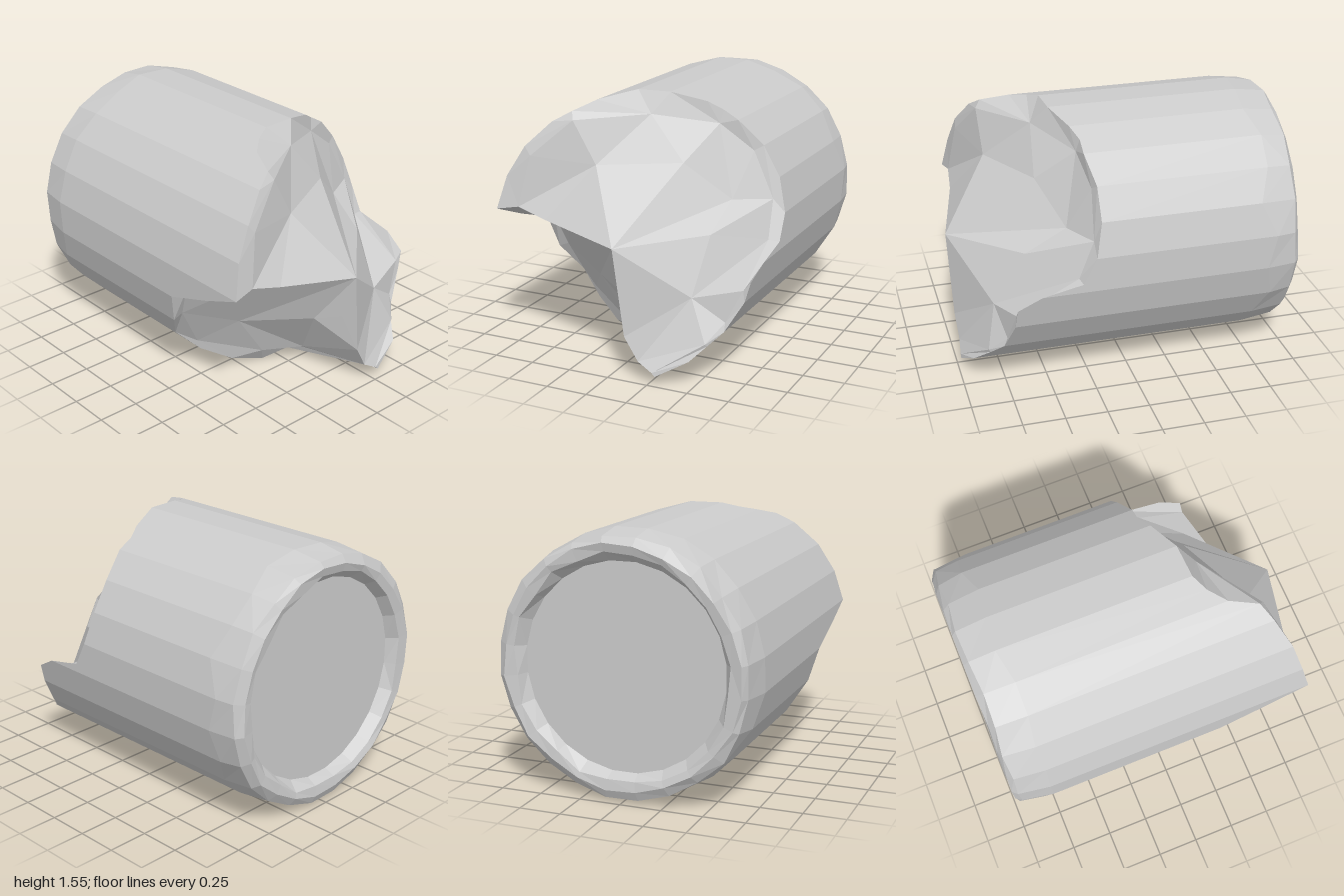
import * as THREE from 'three';

const SIDES = 24, RADIUS = 0.782, CY = 0.775;
const material = new THREE.MeshStandardMaterial({ color: 0xcccccc, flatShading: true });

// Small seeded noise in the range -1..1
let seed = 7;
const noise = () => {
  seed = (seed * 16807) % 2147483647;
  return (seed / 2147483647) * 2 - 1;
};

// Point on the many-sided outline; whole steps are corners, fractions lie on the flats
function outlinePoint(step, z, radius = RADIUS) {
  const low = Math.floor(step), t = step - low;
  const corner = (i) => {
    const a = ((i + 0.5) / SIDES) * Math.PI * 2;
    return [Math.cos(a) * radius, Math.sin(a) * radius];
  };
  const [p, q] = [corner(low), corner(low + 1)];
  return [p[0] + (q[0] - p[0]) * t, CY + p[1] + (q[1] - p[1]) * t, z];
}

// Full ring around the z axis; r and z are functions giving each corner
const ring = (r, z) => Array.from({ length: SIDES }, (_, i) => outlinePoint(i, z(), r()));

// Join two angle-sorted rings of any point count with triangles
function stitch(out, A, B) {
  const angles = (R) => R.map(([x, y]) => {
    const a = Math.atan2(y - CY, x);
    return a < 0 ? a + Math.PI * 2 : a;
  });
  const aa = angles(A), ab = angles(B);
  const nextAngle = (list, i) => list[(i + 1) % list.length] + (i + 1 >= list.length ? Math.PI * 2 : 0);
  let i = 0, j = 0;
  const endA = A.length > 1 ? A.length : 0, endB = B.length > 1 ? B.length : 0;
  while (i < endA || j < endB) {
    const a = A[i % A.length], b = B[j % B.length];
    const moveA = j >= endB || (i < endA && nextAngle(aa, i) <= nextAngle(ab, j));
    if (moveA) out.push(...a, ...A[++i % A.length], ...b);
    else out.push(...a, ...B[++j % B.length], ...b);
  }
}

function surface(name, rings) {
  const positions = [];
  for (let k = 0; k + 1 < rings.length; k++) stitch(positions, rings[k], rings[k + 1]);
  const geometry = new THREE.BufferGeometry();
  geometry.setAttribute('position', new THREE.Float32BufferAttribute(positions, 3));
  geometry.computeVertexNormals();
  const mesh = new THREE.Mesh(geometry, material);
  mesh.name = name;
  return mesh;
}

export function createModel() {
  const group = new THREE.Group();
  group.name = 'brokenColumnDrum';

  // Broken edge as [step, depth, radius], counter-clockwise from the left side
  const brokenRim = [
    [0, 0.25], [1, 0.21], [2, 0.21], [3, 0.25], [3.5, 0.25], [4, 0.29], [5, 0.37],
    [6, 0.38], [6.5, 0.43], [7, 0.52], [7.4, 0.69], [8, 0.74], [9, 0.81], [10, 0.85],
    [11, 0.89], [11.5, 0.63], [12, 0.33], [13, 0.28], [14, 0.16], [15, 0.22],
    [16, 0.31], [17, 0.37], [18, 0.38], [18.9, 0.58, 0.765], [18.95, 0.98],
    [20, 0.93], [20.5, 0.84], [21, 0.77], [22, 0.72], [22.6, 0.71], [23, 0.57], [23.25, 0.33],
  ].map((p) => outlinePoint(...p));

  // Small chips just inside the broken edge
  const chips = [
    [0.7, 0.95, 0.25], [0.57, 1.22, 0.23], [0.37, 1.37, 0.27], [0.02, 1.43, 0.46],
    [-0.35, 1.41, 0.72], [-0.58, 1.2, 0.82], [-0.64, 0.9, 0.87], [-0.7, 0.7, 0.37],
    [-0.66, 0.5, 0.28], [-0.5, 0.22, 0.22], [-0.15, 0.1, 0.42], [0.1, 0.05, 0.43],
    [0.27, 0.07, 0.98], [0.54, 0.24, 0.85], [0.62, 0.35, 0.75], [0.71, 0.54, 0.71], [0.71, 0.73, 0.34],
  ];
  // Ridges and hollows across the fracture
  const ridge = [
    [0.46, 0.8, 0.6], [0.49, 0.95, 0.36], [0.24, 1.17, 0.49], [-0.21, 1.16, 0.71],
    [-0.45, 0.85, 0.89], [-0.46, 0.74, 0.6], [-0.35, 0.39, 0.43],
    [0.07, 0.1, 0.55], [0.18, 0.12, 0.97], [0.43, 0.48, 0.79],
  ];
  // Spine running down from the highest point, closed at its middle
  const spine = [[0.04, 0.776, 1], [-0.04, 0.43, 0.75], [0.1, 0.26, 0.98]];
  const spineMiddle = [[0.033, 0.489, 0.91]];

  // Worn bevel and lip at the intact end
  const shoulder = ring(() => RADIUS, () => -0.79 + noise() * 0.05);
  const bevel = ring(() => 0.758 + noise() * 0.012, () => -0.965 + noise() * 0.015);
  const lip = ring(() => 0.71 + noise() * 0.015, () => -0.995 + noise() * 0.005);
  const innerLip = ring(() => 0.655 + noise() * 0.015, () => -0.985);
  const floorEdge = ring(() => 0.61, () => -0.92);
  const floorCentre = [[0, CY, -0.92]];

  group.add(
    surface('recessedEnd', [floorCentre, floorEdge, innerLip, lip]),
    surface('wornBevel', [lip, bevel, shoulder]),
    surface('drumSide', [shoulder, brokenRim]),
    surface('brokenFace', [brokenRim, chips, ridge, spine, spineMiddle]),
  );
  return group;
}
